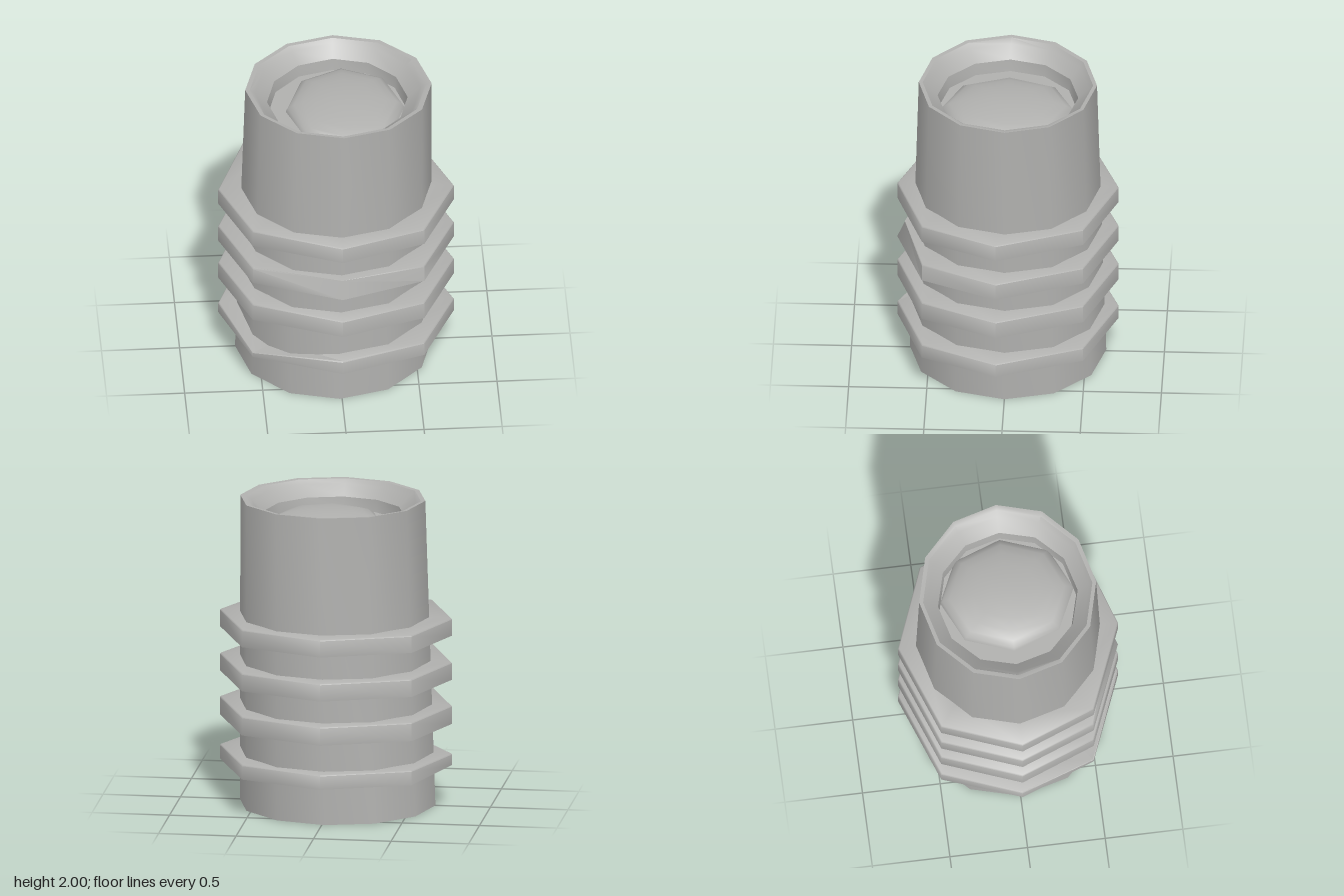
import * as THREE from 'three';
import { toCreasedNormals } from 'three/addons/utils/BufferGeometryUtils.js';

// Skins elliptical rings [rx, rz, y, cx] with n sides; outside rings run upwards.
function loft(rings, n, crease = 0.6, warp = (p) => p) {
  const pos = [];
  const at = ([rx, rz, y, cx = 0], j) => {
    const a = ((j % n) / n) * Math.PI * 2;
    return warp([cx + rx * Math.cos(a), y, rz * Math.sin(a)], j % n);
  };
  for (let i = 0; i < rings.length - 1; i++) {
    for (let j = 0; j < n; j++) {
      const a = at(rings[i], j), b = at(rings[i + 1], j);
      const c = at(rings[i + 1], j + 1), d = at(rings[i], j + 1);
      if (rings[i + 1][0] > 0) pos.push(...a, ...b, ...c);
      if (rings[i][0] > 0) pos.push(...a, ...(rings[i + 1][0] > 0 ? c : b), ...d);
    }
  }
  const g = new THREE.BufferGeometry();
  g.setAttribute('position', new THREE.Float32BufferAttribute(pos, 3));
  return toCreasedNormals(g, crease);
}

export function createModel() {
  const group = new THREE.Group();
  const grey = new THREE.MeshStandardMaterial({ color: 0xb0b0ae });
  grey.name = 'grey';
  const brown = new THREE.MeshStandardMaterial({ color: 0x8a7264 });
  brown.name = 'dark brown';

  const add = (name, geometry, material = grey) => {
    const mesh = new THREE.Mesh(geometry, material);
    mesh.name = name;
    group.add(mesh);
    return mesh;
  };

  // Tapered twelve-sided sleeve with a rounded mouth and an inner ledge
  add('sleeve', loft([
    [0.5, 0.5, 0.13],
    [0.61, 0.608, 0.005, -0.013],
    [0.63, 0.628, 0, -0.015],
    [0.597, 0.57, 2, 0.017],
    [0.565, 0.545, 1.997, 0.014],
    [0.53, 0.52, 1.97, 0.012],
    [0.45, 0.45, 1.9, 0.01],
    [0.44, 0.44, 1.82, 0.01],
    [0, 0, 1.82, 0.01],
  ], 12));

  // Shallow eight-sided dome set off-centre in the mouth
  const dome = [];
  for (let i = 0; i <= 6; i++) {
    const t = (i / 6) * Math.PI / 2;
    const r = i === 6 ? 0 : Math.cos(t);
    dome.push([0.38 * r, 0.43 * r, 1.82 + 0.1 * Math.sin(t), 0.06]);
  }
  add('dome', loft(dome, 8, 1.2));

  // Four slightly irregular octagonal collars
  const shiftX = [0, 0, 0, -0.03, 0, -0.03, 0, 0];
  const shiftZ = [0.05, 0.03, 0, -0.02, 0, 0, 0, 0];
  [[0.25, 0.35], [0.54, 0.665], [0.83, 0.95], [1.12, 1.238]].forEach(([lo, hi], k) => {
    const warp = ([x, y, z], j) => {
      // Lowest collar: one top corner is pushed down and its neighbour lifted
      if (k === 0 && j === 3) y = Math.min(y, 0.28);
      if (k === 0 && j === 4) y = Math.max(y, 0.27);
      // Third collar: the front corner leans back
      if (k === 2 && j === 2 && y > lo + 0.05) z = Math.min(z, 0.66);
      return [x + shiftX[j], y, z + shiftZ[j]];
    };
    add('collar' + (k + 1), loft([
      [0.55, 0.55, lo + 0.005],
      [0.753, 0.708, lo],
      [0.753, 0.708, hi - 0.012],
      [0.745, 0.7, hi - 0.004],
      [0.55, 0.55, hi],
    ], 8, 0.9, warp));
  });

  // Recessed base plug with a square plate
  add('basePlug', loft([[0, 0, 0.07], [0.31, 0.31, 0.08], [0.53, 0.53, 0.14]], 8, 0.9));
  const plate = add('basePlate', new THREE.BoxGeometry(0.42, 0.009, 0.42), brown);
  plate.position.set(0.03, 0.066, 0.07);
  plate.rotation.y = 0.18;

  return group;
}
